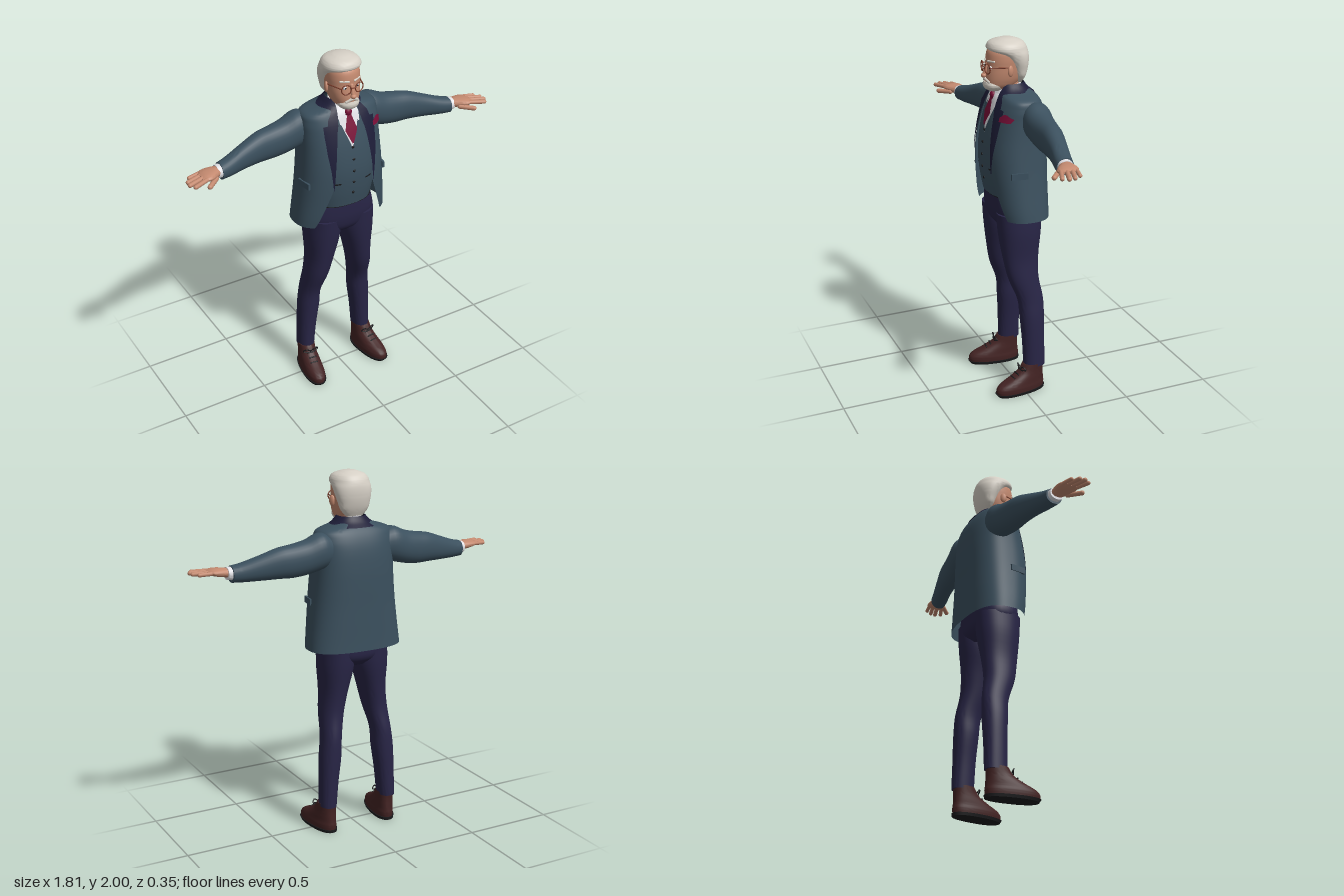
import * as THREE from 'three';
import { toCreasedNormals } from 'three/addons/utils/BufferGeometryUtils.js';

const mat = (name, color) => new THREE.MeshStandardMaterial({ name, color, side: THREE.DoubleSide });
const M = {
  jacket: mat('slate cloth', 0x3b505e), trousers: mat('navy cloth', 0x282546), lapel: mat('dark navy satin', 0x1d1d38),
  skin: mat('skin', 0xc48a70), hair: mat('silver hair', 0xd6d0c6), tie: mat('burgundy silk', 0x7a0f38),
  shirt: mat('white cotton', 0xe6e6ea), shoe: mat('brown leather', 0x432323), black: mat('black', 0x1a1a1c),
  frame: mat('glasses frame', 0x7a3a28),
};
const pw = (v, e) => Math.sign(v) * Math.abs(v) ** e;
const V = (x, y, z) => new THREE.Vector3(x, y, z);

// Smooth interpolation through rows whose first entry is the position
function smooth(rows) {
  const f = new THREE.CubicInterpolant(rows.map(r => r[0]), rows.flatMap(r => r.slice(1)), rows[0].length - 1);
  return t => Array.from(f.evaluate(t));
}

// Superellipse loft; rows are [t, centre, halfWidth, front, back, (half opening at the front)]
function loft(name, material, rows, { n = 2.2, map = (u, v, t) => [u, t, v], flip = false, k = 4, seg = 40 } = {}) {
  const at = smooth(rows), open = rows[0].length > 5, pos = [], idx = [], ends = [], ts = [];
  rows.forEach((r, i) => {
    if (i) for (let j = 1; j <= k; j++) ts.push(rows[i - 1][0] + (r[0] - rows[i - 1][0]) * j / k);
    else ts.push(r[0]);
  });
  const tri = (a, b, c) => (flip ? idx.push(a, c, b) : idx.push(a, b, c));
  ts.forEach((t, i) => {
    const [c, r, zf, zb, gap = 0] = at(t), mid = (zf + zb) / 2, half = (zf - zb) / 2;
    const a0 = gap > 0 ? Math.asin(Math.min(0.999, (gap / r) ** (n / 2))) : 0;
    ends.push(map(c, mid, t));
    for (let j = 0; j <= seg; j++) {
      const a = a0 + (2 * Math.PI - 2 * a0) * j / seg, p = i * (seg + 1) + j, q = p + seg + 1;
      pos.push(...map(c + r * pw(Math.sin(a), 2 / n), mid + half * pw(Math.cos(a), 2 / n), t));
      if (i < ts.length - 1 && j < seg) { tri(p, p + 1, q); tri(p + 1, q + 1, q); }
    }
  });
  if (!open) {
    const base = pos.length / 3, top = (ts.length - 1) * (seg + 1);
    pos.push(...ends[0], ...ends[ends.length - 1]);
    for (let j = 0; j < seg; j++) { tri(j + 1, j, base); tri(top + j, top + j + 1, base + 1); }
  }
  const g = new THREE.BufferGeometry();
  g.setAttribute('position', new THREE.Float32BufferAttribute(pos, 3));
  g.setIndex(idx);
  return add(name, toCreasedNormals(g, 1.0), material);
}

function add(name, geometry, material, p = [0, 0, 0]) {
  const m = new THREE.Mesh(geometry, material);
  m.name = name;
  m.position.set(...p);
  return m;
}

// Thin cloth lying on the front of a loft; rows are [y, x0, x1]
function patch(name, material, surface, n, offset, rows, side = 1) {
  const at = smooth(surface), pos = [], idx = [], nx = 8, k = 5;
  const ys = [];
  for (let i = 0; i < rows.length - 1; i++) for (let j = 0; j < k + (i === rows.length - 2 ? 1 : 0); j++) {
    const f = j / k, a = rows[i], b = rows[i + 1];
    ys.push(a.map((v, m) => v + (b[m] - v) * f));
  }
  ys.forEach(([y, x0, x1], i) => {
    const [, w, zf, zb] = at(y);
    for (let j = 0; j <= nx; j++) {
      const x = x0 + (x1 - x0) * j / nx, q = Math.min(0.97, Math.abs(x) / w), p = i * (nx + 1) + j;
      pos.push(side * x, y, (zf + zb) / 2 + (zf - zb) / 2 * (1 - q ** n) ** (1 / n) + offset);
      if (i < ys.length - 1 && j < nx) idx.push(p, p + 1, p + nx + 1, p + 1, p + nx + 2, p + nx + 1);
    }
  });
  const g = new THREE.BufferGeometry();
  g.setAttribute('position', new THREE.Float32BufferAttribute(pos, 3));
  g.setIndex(idx);
  g.computeVertexNormals();
  return add(name, g, material);
}

// Rounded rod between two points
function rod(name, material, a, b, r) {
  const d = b.clone().sub(a);
  const m = add(name, new THREE.CapsuleGeometry(r, d.length(), 6, 12), material);
  m.position.copy(a).add(b).multiplyScalar(0.5);
  m.quaternion.setFromUnitVectors(V(0, 1, 0), d.normalize());
  return m;
}

const JACKET = [
  [1.05, 0, .27, .135, -.175, .205], [1.1, 0, .265, .145, -.174, .185], [1.2, 0, .253, .157, -.173, .15],
  [1.3, 0, .242, .165, -.172, .118], [1.4, 0, .233, .165, -.172, .112], [1.5, 0, .226, .152, -.17, .1],
  [1.6, 0, .223, .128, -.16, .085], [1.66, 0, .22, .108, -.143, .07], [1.7, 0, .2, .09, -.122, .062],
  [1.725, 0, .12, .08, -.1, .06], [1.745, 0, .085, .07, -.075, .058],
];
const TORSO = [
  [1.16, 0, .165, .13, -.13], [1.25, 0, .18, .146, -.14], [1.37, 0, .185, .156, -.14], [1.5, 0, .185, .143, -.14],
  [1.6, 0, .175, .119, -.13], [1.66, 0, .155, .1, -.11], [1.7, 0, .11, .087, -.085], [1.73, 0, .06, .07, -.05],
];

function torso() {
  const g = new THREE.Group();
  g.name = 'upper body';
  g.add(loft('shirt', M.shirt, TORSO, { n: 2.4 }));
  const gaps = [0, 0, 0, 0, .034, .055, .062, .05];
  g.add(loft('waistcoat', M.jacket, TORSO.map((r, i) => [r[0], 0, r[2] + .006, r[3] + .006, r[4] - .006, gaps[i]]), { n: 2.4 }));
  g.add(loft('jacket', M.jacket, JACKET, { n: 2.6, seg: 64 }));
  g.add(loft('jacket collar', M.lapel, [[1.712, 0, .145, .092, -.12, .062], [1.735, 0, .105, .085, -.092, .06],
    [1.765, 0, .076, .07, -.07, .058]], { n: 2.3 }));
  g.add(loft('shirt collar', M.shirt, [[1.68, 0, .066, .085, -.06], [1.72, 0, .062, .08, -.06], [1.752, 0, .058, .074, -.058]],
    { n: 2, map: (u, v, t) => [u, t - .25 * v, v] }));
  g.add(patch('tie', M.tie, TORSO, 2.4, .016, [[1.715, -.017, .017], [1.685, -.013, .013], [1.61, -.036, .036], [1.54, -.004, .004]]));
  g.add(add('tie knot', new THREE.SphereGeometry(.02, 16, 12).scale(1, 1.05, .7), M.tie, [0, 1.7, .1]));
  g.add(patch('pocket square', M.tie, JACKET, 2.6, .012, [[1.592, .14, .2], [1.615, .138, .21], [1.635, .165, .178]]));
  for (let i = 0; i < 5; i++) {
    const y = 1.515 - i * .068, [, , zf] = smooth(TORSO)(y);
    g.add(add('waistcoat button', new THREE.SphereGeometry(.008, 12, 8).scale(1, 1, .5), M.black, [0, y, zf + .008]));
  }
  for (const s of [1, -1]) {
    g.add(patch('lapel', M.lapel, JACKET, 2.6, .007, [[1.735, .058, .078], [1.68, .064, .118], [1.652, .07, .125],
      [1.648, .07, .15], [1.6, .084, .15], [1.5, .099, .145], [1.4, .111, .133], [1.29, .12, .122]], s));
    g.add(patch('collar wing', M.shirt, TORSO, 2.4, .014, [[1.715, .014, .056], [1.69, .02, .062], [1.645, .052, .058]], s));
    g.add(patch('waistcoat pocket', M.black, TORSO, 2.4, .009, [[1.318, .075, .115], [1.309, .075, .115]], s));
    const flap = add('jacket pocket flap', new THREE.BoxGeometry(.012, .035, .09), M.jacket, [s * .237, 1.31, .045]);
    flap.rotation.y = -s * .14;
    g.add(flap);
  }
  return g;
}

function arm(s) {
  const g = new THREE.Group();
  g.name = s > 0 ? 'left arm' : 'right arm';
  const o = { map: (u, v, t) => [s * t, u, v], flip: s > 0, seg: 28 };
  g.add(loft('sleeve', M.jacket, [[.17, 1.6, .085, .015, -.125], [.22, 1.598, .098, .022, -.136], [.3, 1.573, .092, .018, -.127],
    [.38, 1.56, .088, .014, -.116], [.45, 1.555, .082, .015, -.105], [.55, 1.537, .066, .024, -.08],
    [.65, 1.519, .05, .045, -.053], [.7, 1.514, .044, .053, -.04]], o));
  g.add(loft('shirt cuff', M.shirt, [[.68, 1.517, .037, .047, -.033], [.722, 1.519, .033, .05, -.028]], o));
  g.add(loft('palm', M.skin, [[.7, 1.522, .024, .038, -.016], [.735, 1.525, .024, .062, -.022], [.77, 1.528, .022, .086, -.024],
    [.805, 1.53, .015, .088, -.017], [.822, 1.53, .008, .078, .0]], o));
  // index, middle, ring, little finger and thumb: base x, base z, tip x, tip z, radius
  [[.8, .077, .878, .107, .0115], [.81, .05, .895, .077, .012], [.81, .022, .892, .046, .0115], [.795, -.006, .87, .01, .0105],
    [.745, .062, .805, .114, .013]].forEach(([x0, z0, x1, z1, r], i) => {
    const y = i === 4 ? 1.508 : 1.526;
    g.add(rod(i === 4 ? 'thumb' : 'finger', M.skin, V(s * x0, y + .004, z0), V(s * x1, y, z1), r));
  });
  return g;
}

function leg(s) {
  const g = new THREE.Group();
  g.name = s > 0 ? 'left leg' : 'right leg';
  g.add(loft('trouser leg', M.trousers, [[.15, .187, .046, -.006, -.13], [.3, .178, .052, -.002, -.129], [.45, .165, .059, .008, -.131],
    [.55, .157, .055, .018, -.128], [.68, .138, .064, .066, -.107], [.8, .12, .073, .09, -.112], [.95, .105, .096, .11, -.13],
    [1.06, .103, .095, .118, -.135]].map(([y, x, ...r]) => [y, s * x, ...r])));
  // Shoe, turned slightly outwards
  const shoe = new THREE.Group();
  shoe.name = 'shoe';
  shoe.position.set(s * .187, 0, -.06);
  shoe.rotation.y = s * .13;
  shoe.add(loft('shoe upper', M.shoe, [[.012, 0, .056, .23, -.064], [.04, 0, .058, .232, -.067], [.062, 0, .055, .212, -.064],
    [.088, 0, .052, .155, -.062], [.12, 0, .048, .095, -.06], [.165, 0, .047, .06, -.062]]));
  shoe.add(loft('sole', M.black, [[0, 0, .057, .226, -.068], [.016, 0, .061, .237, -.07]], { n: 2.4 }));
  for (let i = 0; i < 3; i++) {
    const y = .098 + i * .018, z = .136 - i * .025;
    shoe.add(rod('lace', M.black, V(-.02, y, z - .006), V(.02, y, z - .006), .004));
  }
  for (const d of [1, -1]) {
    const bow = new THREE.CatmullRomCurve3([V(0, .14, .076), V(d * .03, .16, .08), V(d * .045, .145, .07), V(d * .02, .137, .08)]);
    shoe.add(add('lace bow', new THREE.TubeGeometry(bow, 16, .0035, 6), M.black));
  }
  g.add(shoe);
  return g;
}

function head() {
  const g = new THREE.Group();
  g.name = 'head';
  g.add(loft('neck', M.skin, [[1.68, 0, .054, .068, -.05], [1.74, 0, .053, .065, -.052], [1.8, 0, .056, .07, -.058]], { n: 2 }));
  g.add(loft('face', M.skin, [[1.735, 0, .04, .12, .01], [1.75, 0, .058, .135, -.02], [1.78, 0, .074, .141, -.05],
    [1.82, 0, .084, .139, -.066], [1.86, 0, .088, .133, -.074], [1.9, 0, .09, .131, -.077], [1.94, 0, .084, .12, -.07],
    [1.975, 0, .055, .085, -.04]]));
  g.add(loft('hair', M.hair, [[1.765, 0, .05, -.02, -.057], [1.8, 0, .08, .0, -.074], [1.84, 0, .092, .02, -.086],
    [1.88, 0, .102, .042, -.092], [1.92, 0, .106, .08, -.092], [1.945, 0, .104, .124, -.087], [1.965, 0, .098, .124, -.078],
    [1.985, 0, .078, .106, -.058], [2.0, 0, .035, .06, -.015]]));
  g.add(loft('beard', M.hair, [[1.725, 0, .03, .122, .06], [1.738, 0, .048, .142, .04], [1.76, 0, .06, .15, .03],
    [1.776, 0, .052, .146, .04]]));
  g.add(rod('nose bridge', M.skin, V(0, 1.865, .13), V(0, 1.815, .146), .011));
  g.add(add('nose tip', new THREE.SphereGeometry(.014, 16, 12).scale(1.15, .9, 1), M.skin, [0, 1.81, .15]));
  g.add(rod('glasses bridge', M.frame, V(-.012, 1.86, .154), V(.012, 1.86, .154), .003));
  for (const s of [1, -1]) {
    g.add(rod('moustache', M.hair, V(s * .006, 1.793, .143), V(s * .032, 1.779, .132), .008));
    g.add(rod('eyebrow', M.hair, V(s * .018, 1.888, .131), V(s * .056, 1.89, .112), .006));
    g.add(add('eye', new THREE.SphereGeometry(.011, 14, 10), M.shirt, [s * .036, 1.855, .121]));
    g.add(add('pupil', new THREE.SphereGeometry(.005, 10, 8), M.black, [s * .036, 1.855, .129]));
    const rim = add('glasses rim', new THREE.TorusGeometry(.026, .003, 8, 28), M.frame, [s * .038, 1.852, .143]);
    rim.rotation.y = s * .2;
    g.add(rim);
    g.add(rod('glasses temple', M.frame, V(s * .064, 1.86, .136), V(s * .096, 1.86, .035), .003));
    const ear = add('ear', new THREE.SphereGeometry(.03, 16, 12).scale(.35, 1, .6), M.skin, [s * .094, 1.842, .036]);
    ear.rotation.y = s * .4;
    g.add(ear);
  }
  return g;
}

export function createModel() {
  const g = new THREE.Group();
  g.name = 'man in suit';
  g.add(torso(), head());
  g.add(loft('trouser seat', M.trousers, [[.95, 0, .07, .06, -.09], [.99, 0, .16, .1, -.13], [1.05, 0, .2, .12, -.14],
    [1.12, 0, .192, .126, -.14], [1.19, 0, .165, .126, -.125]], { n: 2.4 }));
  g.add(loft('belt', M.black, [[1.155, 0, .18, .132, -.137], [1.178, 0, .173, .134, -.132]], { n: 2.4 }));
  for (const s of [1, -1]) g.add(arm(s), leg(s));
  return g;
}
